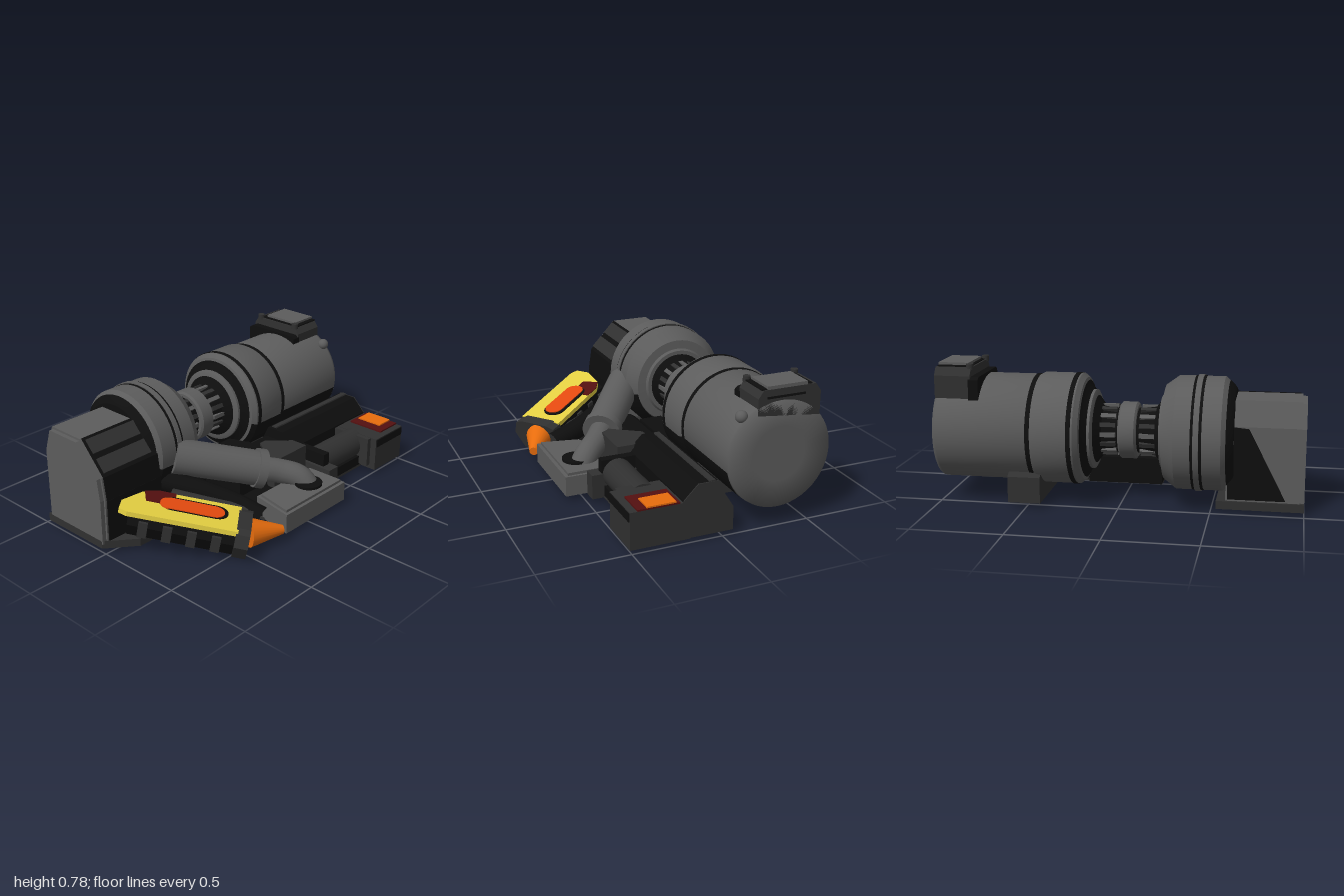
import * as THREE from 'three';
import { toCreasedNormals } from 'three/addons/utils/BufferGeometryUtils.js';

const make = (name, hex) => {
  const m = new THREE.MeshStandardMaterial({ color: hex });
  m.name = name;
  return m;
};

export function createModel() {
  const steel = make('steel grey', 0x5c5c5c);
  const dark = make('dark grey', 0x303030);
  const black = make('soot black', 0x0e0e0e);
  const yellow = make('yellow', 0xf0da46);
  const orange = make('orange', 0xee700e);
  const red = make('red orange', 0xea4c10);
  const maroon = make('dark red', 0x541010);

  const model = new THREE.Group();
  const add = (name, geo, mat, parent = model) => {
    const mesh = new THREE.Mesh(geo, mat);
    mesh.name = name;
    parent.add(mesh);
    return mesh;
  };
  // Box from its low and high corners
  const box = (name, mat, a, b, parent) => {
    const g = new THREE.BoxGeometry(b[0] - a[0], b[1] - a[1], b[2] - a[2]);
    g.translate((a[0] + b[0]) / 2, (a[1] + b[1]) / 2, (a[2] + b[2]) / 2);
    return add(name, g, mat, parent);
  };
  const outline = (pts) => new THREE.Shape(pts.map(([a, b]) => new THREE.Vector2(a, b)));
  const extrude = (shape, depth) => new THREE.ExtrudeGeometry(shape, { depth, bevelEnabled: false, curveSegments: 8 });
  // Section given as [z, y], swept along x
  const prismX = (name, mat, pts, x0, x1) =>
    add(name, extrude(outline(pts.map(([z, y]) => [-z, y])), x1 - x0).rotateY(Math.PI / 2).translate(x0, 0, 0), mat);
  // Plan given as [x, z], raised along y
  const prismY = (name, mat, pts, y0, y1, parent) =>
    add(name, extrude(outline(pts.map(([x, z]) => [x, -z])), y1 - y0).rotateX(-Math.PI / 2).translate(0, y0, 0), mat, parent);
  // Round bar between two points
  const rod = (name, mat, a, b, r0, r1 = r0, parent = model) => {
    const p = new THREE.Vector3(...a), q = new THREE.Vector3(...b);
    const d = q.clone().sub(p);
    const mesh = add(name, new THREE.CylinderGeometry(r1, r0, d.length(), 24), mat, parent);
    mesh.position.copy(p).add(q).multiplyScalar(0.5);
    mesh.quaternion.setFromUnitVectors(new THREE.Vector3(0, 1, 0), d.normalize());
    return mesh;
  };
  // Bent pipe through points
  const pipe = (name, mat, pts, r) => add(name, new THREE.TubeGeometry(
    new THREE.CatmullRomCurve3(pts.map((p) => new THREE.Vector3(...p))), 16, r, 16), mat);

  // Turned parts share one horizontal axis; profile is [radius, x]
  const AY = 0.395, AZ = -0.315;
  const turned = (name, mat, pts, crease = 0.5, start = 0, sweep = Math.PI * 2) => {
    const g = new THREE.LatheGeometry(pts.map(([r, x]) => new THREE.Vector2(r, x)), 48, start, sweep);
    g.rotateZ(-Math.PI / 2).translate(0, AY, AZ);
    return add(name, toCreasedNormals(g, crease), mat);
  };
  turned('leftDrum', steel, [[0, -0.62], [0.25, -0.62], [0.27, -0.605], [0.312, -0.56], [0.312, -0.31],
    [0.26, -0.24], [0.21, -0.235], [0.2, -0.22], [0, -0.22]]);
  turned('leftDrumRim', black, [[0.2, -0.622], [0.251, -0.622], [0.272, -0.607], [0.292, -0.585], [0.28, -0.58]]);
  turned('leftDrumBand', steel, [[0.3, -0.445], [0.32, -0.445], [0.32, -0.415], [0.3, -0.415]]);
  turned('leftDrumSeam', black, [[0.3, -0.46], [0.314, -0.46], [0.314, -0.4], [0.3, -0.4]]);
  turned('neckCore', black, [[0, -0.23], [0.19, -0.23], [0.14, -0.19], [0.125, -0.1], [0.125, 0.02],
    [0.135, 0.1], [0.2, 0.15], [0, 0.15]]);
  turned('neckRing', steel, [[0.1, -0.09], [0.145, -0.09], [0.157, -0.08], [0.157, 0], [0.145, 0.01], [0.1, 0.01]]);
  turned('rightCollar', steel, [[0, 0.14], [0.2, 0.14], [0.22, 0.15], [0.22, 0.17], [0.25, 0.19], [0.285, 0.2],
    [0.308, 0.225], [0.308, 0.44], [0.295, 0.465], [0, 0.465]]);
  turned('collarStep', black, [[0.2, 0.165], [0.223, 0.165], [0.252, 0.187], [0.27, 0.193], [0.26, 0.2]]);
  turned('collarSeam', black, [[0.3, 0.235], [0.311, 0.235], [0.311, 0.26], [0.3, 0.26]]);
  turned('tankSeam', black, [[0.28, 0.46], [0.299, 0.46], [0.299, 0.485], [0.28, 0.485]]);
  turned('tank', steel, [[0, 0.46], [0.296, 0.46], [0.296, 0.47], [0.296, 0.985], [0.294, 1], [0.15, 1], [0, 1]], 2);
  // Sooty patches low on the front side
  turned('drumSoot', black, [[0.277, -0.6], [0.315, -0.56], [0.315, -0.31], [0.264, -0.24]], 0.5, 0.2, 1.3);
  turned('collarSoot', black, [[0.287, 0.2], [0.311, 0.225], [0.311, 0.44], [0.298, 0.465]], 0.5, 0.2, 1.3);
  turned('tankSoot', black, [[0.298, 0.465], [0.298, 0.99]], 0.5, 0.2, 1.3);

  // Ribs around both halves of the neck
  for (const x of [-0.15, 0.065]) for (let i = 0; i < 16; i++) {
    const g = new THREE.BoxGeometry(0.085, 0.02, 0.024).translate(x, 0.134, 0);
    add('neckRib', g.rotateX(i * Math.PI / 8).translate(0, AY, AZ), i % 2 ? dark : steel);
  }

  // Gearbox at the left end, with bevelled end face
  const section = [[-0.465, 0.03], [-0.465, 0.47], [-0.42, 0.605], [-0.19, 0.605], [-0.03, 0.43], [-0.01, 0.3], [-0.01, 0.03]];
  prismX('endBlock', steel, section, -0.975, -0.58);
  prismX('endBlockFace', steel, section.map(([z, y]) => [-0.24 + (z + 0.24) * 0.95, 0.32 + (y - 0.32) * 0.96]), -1, -0.975);
  const backPatch = outline([[-0.9, 0.07], [-0.59, 0.07], [-0.59, 0.47], [-0.7, 0.46]]);
  add('endBlockBackPatch', extrude(backPatch, 0.008).translate(0, 0, -0.472), black);
  box('endBlockFront', black, [-0.965, 0.05, -0.012], [-0.58, 0.3, -0.003]);
  prismX('endBlockSlope', black, [[-0.19, 0.59], [-0.185, 0.608], [-0.024, 0.432], [-0.004, 0.3], [-0.02, 0.3], [-0.04, 0.43]], -0.965, -0.58);
  for (const t of [0.26, 0.76]) {
    const rib = add('slopePanel', new THREE.BoxGeometry(0.33, 0.085, 0.03), dark);
    rib.position.set(-0.785, 0.432 + 0.17 * t, -0.027 - 0.16 * t);
    rib.rotation.x = -0.755;
  }
  prismY('endBlockFoot', dark, [[-1, -0.478], [-0.53, -0.478], [-0.53, 0.1], [-0.84, 0.1], [-1, -0.03]], 0.015, 0.06);

  // Box on top of the tank
  prismX('tankTopHousing', dark, [[-0.54, 0.58], [-0.54, 0.71], [-0.51, 0.752], [-0.21, 0.752], [-0.18, 0.71], [-0.18, 0.62]], 0.8, 1);
  prismX('tankTopStep', black, [[-0.545, 0.58], [-0.545, 0.69], [-0.52, 0.705], [-0.2, 0.705], [-0.178, 0.69], [-0.178, 0.6]], 0.755, 0.81);
  box('tankTopBorder', black, [0.81, 0.75, -0.49], [0.995, 0.757, -0.2]);
  box('tankTopLid', steel, [0.83, 0.752, -0.46], [1, 0.77, -0.23]);
  box('housingSlot', black, [0.995, 0.703, -0.45], [1.002, 0.715, -0.23]);
  for (const z of [-0.495, -0.215])
    rod('housingBolt', dark, [0.81, 0.74, z], [0.81, 0.772, z], 0.02);
  const knob = add('tankKnob', new THREE.SphereGeometry(0.033, 16, 12), steel);
  knob.position.set(0.968, 0.62, -0.105);

  // Base frame beneath and in front of the tank
  const beam = [[-0.06, 0.02], [-0.06, 0.15], [-0.01, 0.23], [0.03, 0.31], [0.14, 0.31], [0.22, 0.23], [0.22, 0.02]];
  prismX('baseBeam', black, beam, 0.28, 0.994);
  prismX('beamEndFace', dark, beam, 0.994, 1);
  prismX('beamRail', dark, [[0.04, 0.3], [0.045, 0.317], [0.075, 0.317], [0.08, 0.3]], 0.3, 0.998);
  prismX('beamLowEnd', black, [[-0.06, 0.02], [-0.06, 0.15], [-0.01, 0.23], [0.02, 0.25], [0.13, 0.25], [0.22, 0.19], [0.22, 0.02]], -0.18, 0.28);
  box('neckSaddle', black, [-0.2, 0.05, -0.19], [0.22, 0.2, -0.05]);
  box('basePlate', dark, [-0.19, 0.015, -0.06], [0.99, 0.03, 0.41]);
  prismX('rearFoot', dark, [[-0.56, 0.02], [-0.56, 0.165], [-0.5, 0.2], [-0.06, 0.16], [-0.06, 0.02]], 0.42, 0.6);
  box('lowerDeck', black, [-0.18, 0.025, 0.1], [0.75, 0.09, 0.41]);
  box('cornerBlock', dark, [0.73, 0.016, 0.18], [1, 0.222, 0.51]);
  box('cornerBlockTrim', black, [0.735, 0.17, 0.509], [0.995, 0.217, 0.515]);
  box('warningPanel', maroon, [0.83, 0.222, 0.24], [1, 0.231, 0.47]);
  box('warningLamp', orange, [0.89, 0.231, 0.26], [1, 0.239, 0.42]);

  // Horizontal cylinder with end brackets
  rod('sideCylinder', dark, [0.35, 0.15, 0.33], [0.74, 0.15, 0.33], 0.085);
  box('cylinderBracket', dark, [0.31, 0.02, 0.2], [0.39, 0.16, 0.48]);
  box('cylinderBracketTop', black, [0.33, 0.16, 0.22], [0.38, 0.235, 0.42]);
  box('cylinderEndPlate', dark, [0.7, 0.04, 0.22], [0.73, 0.22, 0.47]);

  // Front pedestal and wedge cover
  prismY('pedestal', steel, [[-0.22, 0.6], [0.3, 0.6], [0.3, 0.34], [-0.17, 0.34]], 0.02, 0.135);
  prismY('pedestalTop', steel, [[-0.2, 0.58], [0.285, 0.58], [0.28, 0.36], [-0.155, 0.36]], 0.135, 0.15);
  prismY('wedgeCover', dark, [[0.03, 0.25], [0.15, 0.08], [0.19, 0.08], [0.31, 0.2], [0.31, 0.3], [0.03, 0.3]], 0.09, 0.268);

  // Pipe from the drum to the pedestal
  rod('feedPipe', steel, [-0.44, 0.36, -0.045], [-0.05, 0.236, 0.25], 0.102);
  rod('feedPipeFlange', steel, [-0.07, 0.242, 0.235], [-0.03, 0.229, 0.265], 0.114);
  pipe('feedElbow', steel, [[-0.06, 0.237, 0.245], [0.04, 0.21, 0.32], [0.12, 0.17, 0.41], [0.15, 0.09, 0.47]], 0.07);
  rod('elbowSocket', black, [0.12, 0.14, 0.475], [0.12, 0.165, 0.475], 0.08);

  // Hose and strut between the drum and the pod
  pipe('hose', black, [[-0.5, 0.22, -0.06], [-0.42, 0.2, 0.12], [-0.33, 0.15, 0.3], [-0.28, 0.1, 0.48]], 0.06);
  rod('podStrut', dark, [-0.55, 0.15, 0.04], [-0.31, 0.1, 0.4], 0.07);

  // Angled pod, built along its own z axis
  const pod = new THREE.Group();
  pod.name = 'pod';
  pod.position.set(-0.655, 0.195, 0.3);
  pod.rotation.set(0.18, 0.67, 0, 'YXZ');
  model.add(pod);
  const podBody = outline([[-0.1, 0], [-0.12, -0.05], [-0.08, -0.13], [0.1, -0.13], [0.15, -0.05], [0.14, 0]]);
  add('podBody', extrude(podBody, 0.6).translate(0, 0, -0.32), black, pod);
  for (let i = 0; i < 4; i++)
    box('podRib', dark, [-0.125, -0.11, -0.26 + i * 0.13], [0.155, -0.02, -0.21 + i * 0.13], pod);
  prismY('podShell', yellow, [[-0.125, -0.33], [-0.115, 0.26], [0.15, 0.26], [0.145, -0.2], [0.11, -0.28],
    [-0.02, -0.375], [-0.105, -0.375]], 0.004, 0.032, pod);
  const cap = outline([[-0.12, 0.02], [-0.14, -0.05], [-0.08, -0.145], [0.1, -0.145], [0.165, -0.05], [0.15, 0.02], [0.1, 0.036], [-0.08, 0.036]]);
  add('podCap', extrude(cap, 0.075).translate(0, 0, 0.25), dark, pod);
  rod('podNozzle', orange, [0.04, -0.05, 0.32], [0.115, -0.035, 0.5], 0.083, 0.025, pod);

  // Painted window on the shell
  const slot = (r, half) => {
    const s = new THREE.Shape();
    s.absarc(0, half, r, 0, Math.PI);
    s.absarc(0, -half, r, Math.PI, Math.PI * 2);
    return s;
  };
  prismY('podRedPatch', maroon, [[0.02, -0.25], [0.02, -0.1], [0.145, -0.1], [0.145, -0.2], [0.115, -0.27]], 0.031, 0.037, pod);
  add('podWindowFrame', extrude(slot(0.064, 0.12), 0.006).rotateX(-Math.PI / 2).translate(0.038, 0.032, 0.01), black, pod);
  add('podWindow', extrude(slot(0.055, 0.12), 0.009).rotateX(-Math.PI / 2).translate(0.03, 0.034, 0), red, pod);

  return model;
}
